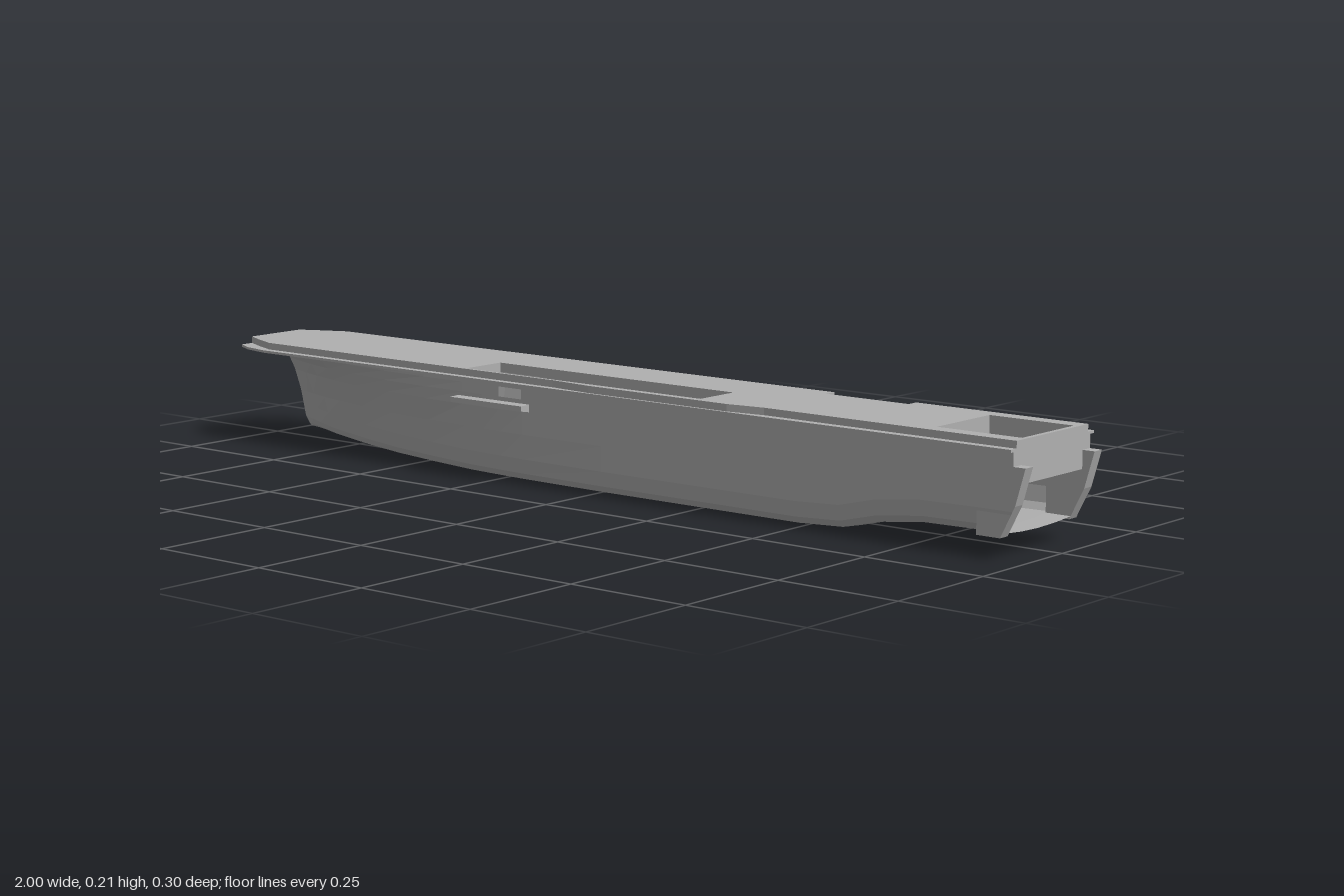
import * as THREE from 'three';

const grey = new THREE.MeshStandardMaterial({ color: 0xb0b0b0, flatShading: true, side: THREE.DoubleSide });
grey.name = 'hull grey';

// Piecewise linear lookup in [key, value] pairs
function lookup(pairs, k) {
  if (k <= pairs[0][0]) return pairs[0][1];
  for (let i = 1; i < pairs.length; i++) {
    const [a, va] = pairs[i - 1], [b, vb] = pairs[i];
    if (k <= b) return va + (vb - va) * (k - a) / (b - a);
  }
  return pairs[pairs.length - 1][1];
}

const STEM = [[0, -0.84], [0.02, -0.89], [0.04, -0.91], [0.1, -0.925], [0.14, -0.94], [0.17, -0.96], [0.19, -0.985], [0.2, -1]];
const STERN = [[0.04, 0.95], [0.1, 0.98], [0.17, 1]];
const KEEL = [[-1, 0.025], [-0.85, 0.014], [-0.6, 0.007], [-0.35, 0.001], [0, 0], [0.58, 0.001], [0.68, 0.026], [0.78, 0.038], [0.9, 0.04]];
const STATIONS = [-1, -0.985, -0.96, -0.92, -0.86, -0.78, -0.68, -0.56, -0.44, -0.335, -0.28, -0.235, -0.175,
  0.03, 0.07, 0.24, 0.41, 0.5, 0.6, 0.68, 0.78, 0.9, 0.975, 1];

// Section points from keel to deck edge: [share of half width, height]
function section(u) {
  const k = lookup(KEEL, u);
  return [[0, k], [0.45, k + 0.002], [0.88, k + 0.007], [0.96, k + 0.02], [1, k + 0.05],
    [1, 0.1], [1, 0.145], [1, 0.17], [1, 0.19], [1, 0.2]];
}

function hullPoint(u, row, side) {
  const [share, y] = section(u)[row];
  const h = Math.min(y / 0.2, 1);
  // fine entry low down, full flare at the deck
  const entry = 0.95 - 0.47 * h * h;
  const t = Math.min((u + 1) / entry, 1);
  const w = 0.125 * share * Math.pow(Math.sin(t * Math.PI / 2), 0.95 - 0.25 * h);
  let x = u;
  if (u < -0.6) x = -0.6 + (u + 0.6) * (lookup(STEM, y) + 0.6) / -0.4;
  if (u > 0.9) x = 0.9 + (u - 0.9) * (lookup(STERN, y) - 0.9) / 0.1;
  return [x, y, side * w];
}

// Openings in the shell: side, x range, y range
const OPENINGS = [
  [1, -0.235, -0.175, 0.165, 0.195],
  [-1, -0.335, -0.28, 0.165, 0.201],
  [-1, 0.03, 0.07, 0.165, 0.195],
  [-1, 0.41, 0.6, 0.095, 0.201],
  [1, 0.975, 1, 0.165, 0.201],
  [-1, 0.975, 1, 0.165, 0.201],
];

function hullSide(side) {
  const pos = [];
  for (let i = 0; i < STATIONS.length - 1; i++) {
    const u0 = STATIONS[i], u1 = STATIONS[i + 1], um = (u0 + u1) / 2;
    for (let r = 0; r < 9; r++) {
      const ym = (section(um)[r][1] + section(um)[r + 1][1]) / 2;
      if (OPENINGS.some(([s, a, b, c, d]) => s === side && um > a && um < b && ym > c && ym < d)) continue;
      const a = hullPoint(u0, r, side), b = hullPoint(u1, r, side);
      const c = hullPoint(u1, r + 1, side), d = hullPoint(u0, r + 1, side);
      pos.push(...(side > 0 ? [a, b, c, a, c, d] : [a, c, b, a, d, c]).flat());
    }
  }
  const g = new THREE.BufferGeometry();
  g.setAttribute('position', new THREE.Float32BufferAttribute(pos, 3));
  g.computeVertexNormals();
  return g;
}

// Horizontal plate from [x, z] outline and rectangular holes
function plate(outline, holes, y, thickness) {
  const toPath = (P, pts) => new P(pts.map(([x, z]) => new THREE.Vector2(x, -z)));
  const shape = toPath(THREE.Shape, outline);
  for (const [x0, x1, z0, z1] of holes) {
    shape.holes.push(toPath(THREE.Path, [[x0, z0], [x1, z0], [x1, z1], [x0, z1]]));
  }
  const g = new THREE.ExtrudeGeometry(shape, { depth: thickness, bevelEnabled: false });
  return g.rotateX(-Math.PI / 2).translate(0, y, 0);
}

export function createModel() {
  const model = new THREE.Group();
  model.name = 'shipHull';
  const add = (name, geometry) => {
    const m = new THREE.Mesh(geometry, grey);
    m.name = name;
    model.add(m);
    return m;
  };
  const box = (name, x0, x1, y0, y1, z0, z1) =>
    add(name, new THREE.BoxGeometry(x1 - x0, y1 - y0, z1 - z0).translate((x0 + x1) / 2, (y0 + y1) / 2, (z0 + z1) / 2));

  // Shell
  add('hullLeftSide', hullSide(1));
  add('hullRightSide', hullSide(-1));

  // Flight deck with island well, stern well and lift notch
  const holes = [[-0.335, 0.265, 0.01, 0.11], [0.785, 0.965, -0.085, 0.083]];
  const notch = z => [[0.6, z], [0.6, -0.092], [0.41, -0.092], [0.41, z]];
  add('flightDeck', plate([
    [-1, 0.07], [-0.96, 0.09], [-0.9, 0.115], [-0.1, 0.117], [0.0, 0.126], [0.34, 0.126], [0.42, 0.115], [0.975, 0.115],
    [0.975, -0.117], ...notch(-0.117), [-0.9, -0.117], [-0.96, -0.09], [-1, -0.07],
  ], holes, 0.2, 0.015));

  // Catwalk rim just below the deck
  add('catwalk', plate([
    [-1, 0.1], [-0.96, 0.12], [-0.9, 0.132], [0.975, 0.132],
    [0.975, -0.137], ...notch(-0.137), [-0.9, -0.137], [-0.96, -0.12], [-1, -0.1],
  ], holes, 0.196, 0.005));

  // Stern well below the deck and the transom above the dock mouth
  box('sternWellFloor', 0.78, 0.975, 0.135, 0.155, -0.1, 0.1);
  box('sternWellFrontWall', 0.777, 0.785, 0.155, 0.2, -0.09, 0.09);
  for (const s of [-1, 1]) {
    const z = s * 0.088;
    box('sternWellSideWall', 0.78, 0.97, 0.155, 0.2, z - 0.003, z + 0.003);
  }
  box('transomLower', 0.965, 0.975, 0.135, 0.17, -0.1, 0.1);
  box('transomUpper', 0.965, 0.975, 0.17, 0.2, -0.124, 0.124);

  // Thick dock walls ending in raked stern wings
  const wing = new THREE.Shape([[0.9, 0.04], [0.95, 0.04], [0.98, 0.1], [1, 0.17], [0.9, 0.17]]
    .map(([x, y]) => new THREE.Vector2(x, y)));
  for (const s of [-1, 1]) {
    add('sternWing', new THREE.ExtrudeGeometry(wing, { depth: 0.024, bevelEnabled: false })
      .translate(0, 0, s > 0 ? 0.1 : -0.124));
  }

  // Side platforms with wedge undersides
  const sponson = (x0, x1, s) => {
    const shape = new THREE.Shape([[0.122, 0.162], [0.122, 0.146], [0.148, 0.151], [0.148, 0.161]]
      .map(([z, y]) => new THREE.Vector2(-z * s, y)));
    add('sidePlatform', new THREE.ExtrudeGeometry(shape, { depth: x1 - x0, bevelEnabled: false })
      .rotateY(Math.PI / 2).translate(x0, 0, 0));
  };
  sponson(-0.345, -0.155, 1);
  sponson(-0.345, 0.13, -1);

  return model;
}
